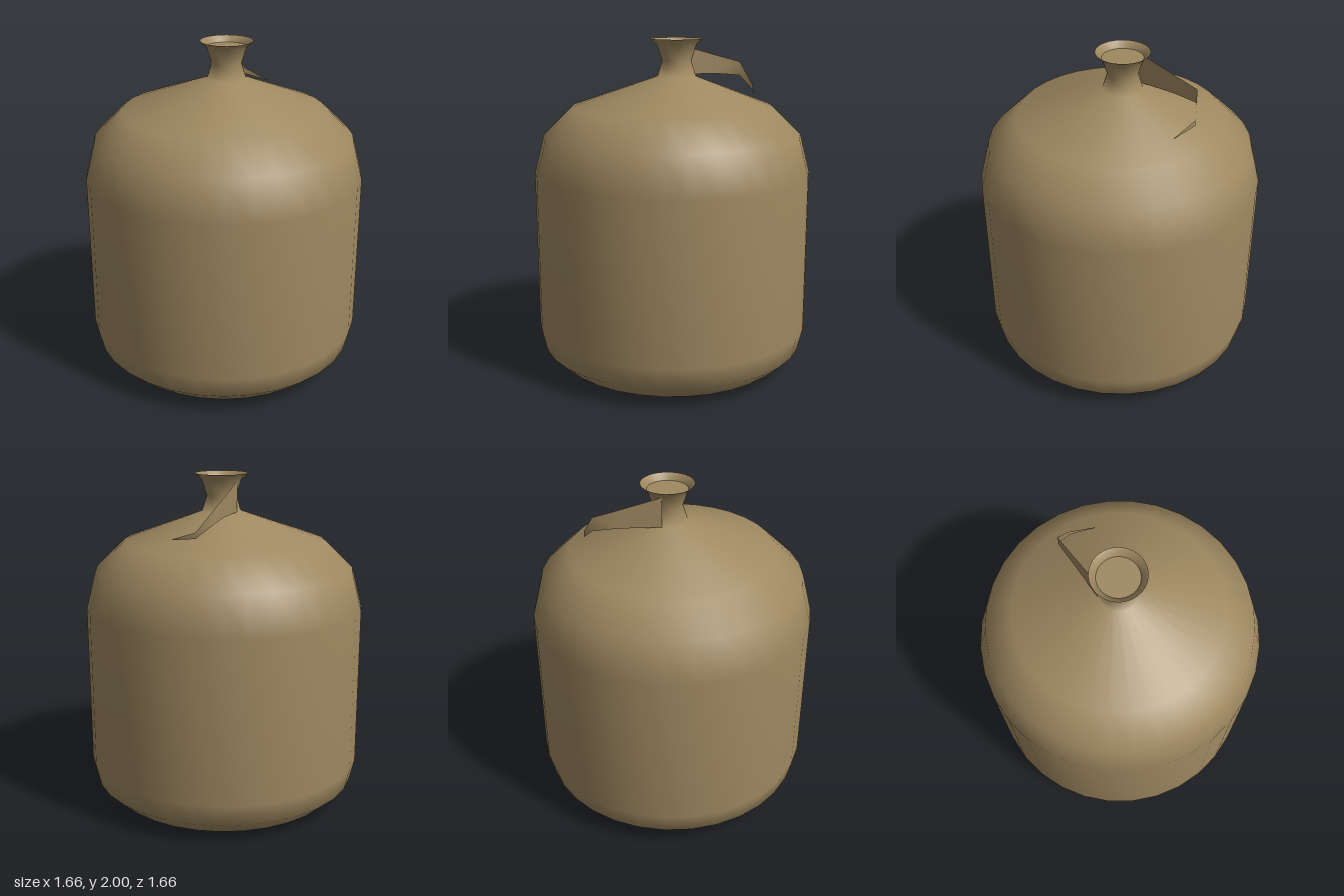
import * as THREE from 'three';
import { mergeVertices } from 'three/addons/utils/BufferGeometryUtils.js';

const SIDES = 32;
const NECK_Z = -0.027; // the neck sits slightly behind the body's axis

export function createModel() {
  const model = new THREE.Group();
  model.name = 'jug';
  const clay = new THREE.MeshStandardMaterial({ color: 0x9e8860, side: THREE.DoubleSide });
  clay.name = 'tan clay';

  const add = (name, geometry) => {
    const mesh = new THREE.Mesh(geometry, clay);
    mesh.name = name;
    model.add(mesh);
    return mesh;
  };

  // Body, shoulder, neck and flared lip in one smooth turned skin
  const profile = [
    [0, 0], [0.57, 0], [0.7, 0.04], [0.8, 0.13], [0.83, 0.26], [0.83, 1.21],
    [0.77, 1.44], [0.6, 1.605], [0.115, 1.78], [0.087, 1.87], [0.118, 1.965], [0.155, 2],
  ].map(([r, y]) => new THREE.Vector2(r, y));
  let skin = new THREE.LatheGeometry(profile, SIDES);
  const pos = skin.attributes.position;
  for (let i = 0; i < pos.count; i++) {
    if (pos.getY(i) > 1.7) pos.setZ(i, pos.getZ(i) + NECK_Z);
  }
  skin.deleteAttribute('normal');
  skin.deleteAttribute('uv');
  skin = mergeVertices(skin);
  skin.computeVertexNormals();
  add('body', skin);

  // Flat stopper closing the mouth inside the lip
  const stopper = add('stopper', new THREE.CircleGeometry(0.118, SIDES).rotateX(-Math.PI / 2));
  stopper.position.set(0, 1.965, NECK_Z);

  // Strap: upright ribbon from the neck, each station is x, z, top y, bottom y
  const stations = [
    [-0.115, -0.03, 1.96, 1.78],
    [-0.187, -0.26, 1.89, 1.78],
    [-0.23, -0.4, 1.85, 1.767],
    [-0.155, -0.48, 1.72, 1.685],
    [0, -0.49, 1.67, 1.665],
  ];
  const points = [];
  const faces = [];
  stations.forEach(([x, z, top, bottom], i) => {
    points.push(x, top, z, x, bottom, z);
    const a = 2 * i;
    if (i < stations.length - 1) faces.push(a, a + 2, a + 1, a + 1, a + 2, a + 3);
  });
  const ribbon = new THREE.BufferGeometry();
  ribbon.setAttribute('position', new THREE.Float32BufferAttribute(points, 3));
  ribbon.setIndex(faces);
  ribbon.computeVertexNormals();
  add('strap', ribbon);

  return model;
}
